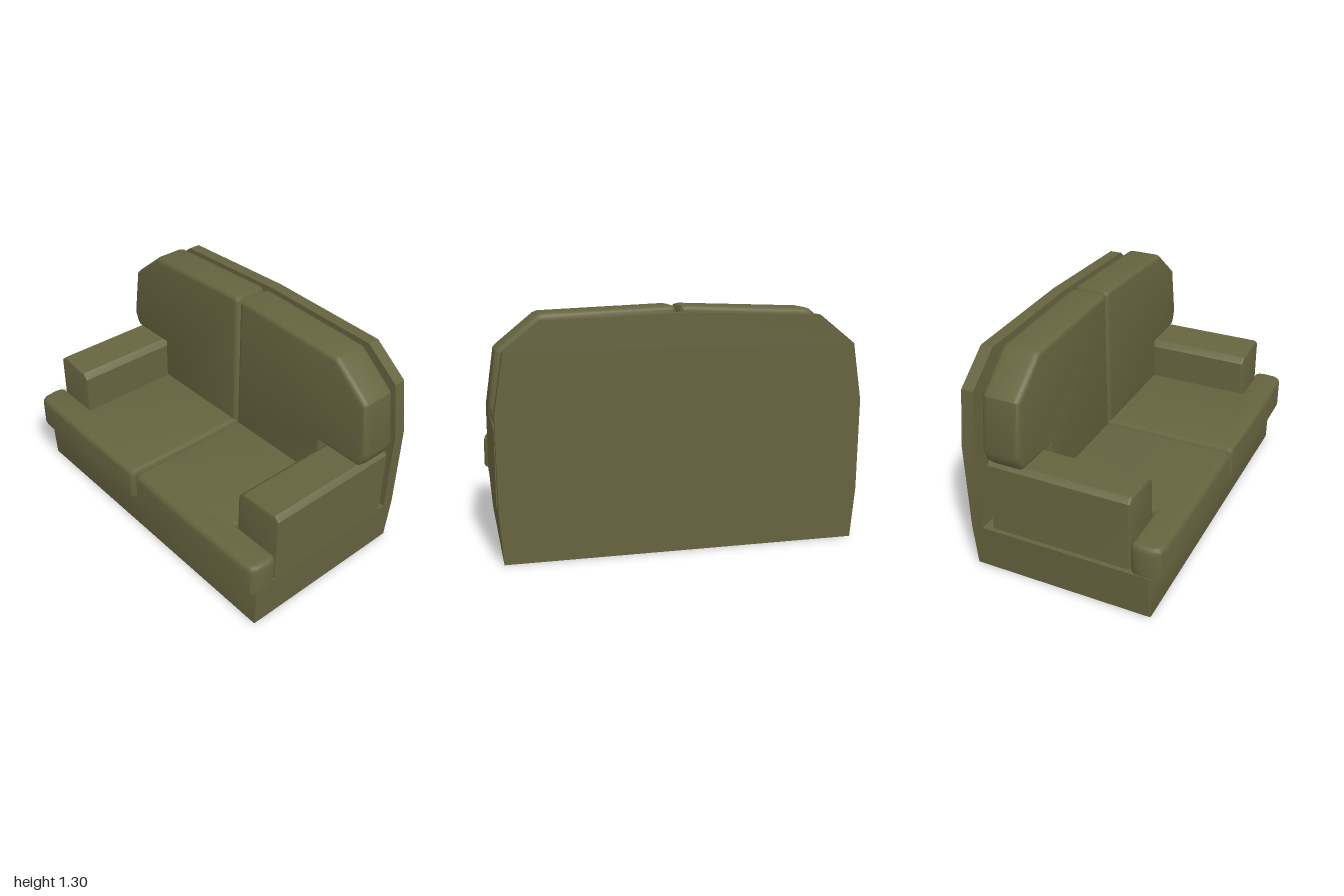
import * as THREE from 'three';
import { toCreasedNormals } from 'three/addons/utils/BufferGeometryUtils.js';

const fabric = new THREE.MeshStandardMaterial({ color: 0x66633f });

// Extrudes an outline from `from` to `to`; bevel = [size, thickness].
// flatBack keeps the starting end square so only the far end is rounded.
function slab(points, from, to, bevel, flatBack) {
  const shape = new THREE.Shape(points.map(([x, y]) => new THREE.Vector2(x, y)));
  const [size, thick] = bevel || [0, 0];
  const depth = to - from - thick * (flatBack ? 1 : 2);
  const geo = new THREE.ExtrudeGeometry(shape, {
    depth, bevelEnabled: !!bevel, bevelSize: size, bevelOffset: -size,
    bevelThickness: thick, bevelSegments: 3,
  });
  const pos = geo.attributes.position;
  if (flatBack) {
    for (let i = 0; i < pos.count; i++) pos.setZ(i, Math.max(pos.getZ(i), 0));
  }
  geo.translate(0, 0, from + (flatBack ? 0 : thick));
  return geo;
}

export function createModel() {
  const group = new THREE.Group();
  const add = (name, geo) => {
    const mesh = new THREE.Mesh(toCreasedNormals(geo, 0.6), fabric);
    mesh.name = name;
    group.add(mesh);
  };

  // Tapered base
  add('base', slab([[-0.97, 0], [0.945, 0], [0.965, 0.275], [-0.995, 0.275]],
    -0.49, 0.49, [0.008, 0.012], true));

  // Tall back panel with sloping shoulders
  add('backPanel', slab([
    [-0.97, 0], [0.945, 0], [0.965, 0.275], [0.97, 0.78], [0.92, 1.09],
    [0.72, 1.247], [-0.015, 1.272], [-0.75, 1.247], [-0.95, 1.09], [-1, 0.78], [-0.995, 0.275],
  ], -0.56, -0.49));

  for (const s of [-1, 1]) {
    const side = s > 0 ? 'left' : 'right';
    const mirror = (pts, cx) => pts.map(([x, y]) => [cx + s * x, y]);

    // Armrest: top slopes down to a chamfered inner edge
    const inner = s > 0 ? 0.675 : 0.7;
    add(side + 'Armrest', slab(mirror([
      [inner, 0.275], [0.97, 0.275], [0.97, 0.68], [0.94, 0.705],
      [inner + 0.035, 0.69], [inner, 0.657],
    ], 0), -0.437, 0.375, [0.012, 0.015], true));

    // Back cushion: notched to rest on the armrest
    add(side + 'BackCushion', slab(mirror([
      [0.008, 0.44], [0.68, 0.44], [0.68, 0.7], [0.95, 0.7], [0.975, 0.725], [1.0, 0.79],
      [0.955, 1.09], [0.935, 1.11], [0.745, 1.265], [0.72, 1.274],
      [0.045, 1.3], [0.02, 1.295], [0.008, 1.275],
    ], -0.005), -0.437, -0.22, [0.025, 0.035], false));

    // T-shaped seat cushion, drawn in plan (y = -z) and laid flat
    const seat = slab(mirror([
      [0.006, 0.43], [0.68, 0.43], [0.68, -0.378], [0.965, -0.378], [0.985, -0.4],
      [0.992, -0.44], [0.985, -0.515], [0.965, -0.543], [0.93, -0.553],
      [0.5, -0.56], [0.03, -0.555], [0.006, -0.535],
    ], -0.005), 0.28, 0.463, [0.03, 0.035], true);
    seat.rotateX(-Math.PI / 2);
    add(side + 'SeatCushion', seat);
  }
  return group;
}
